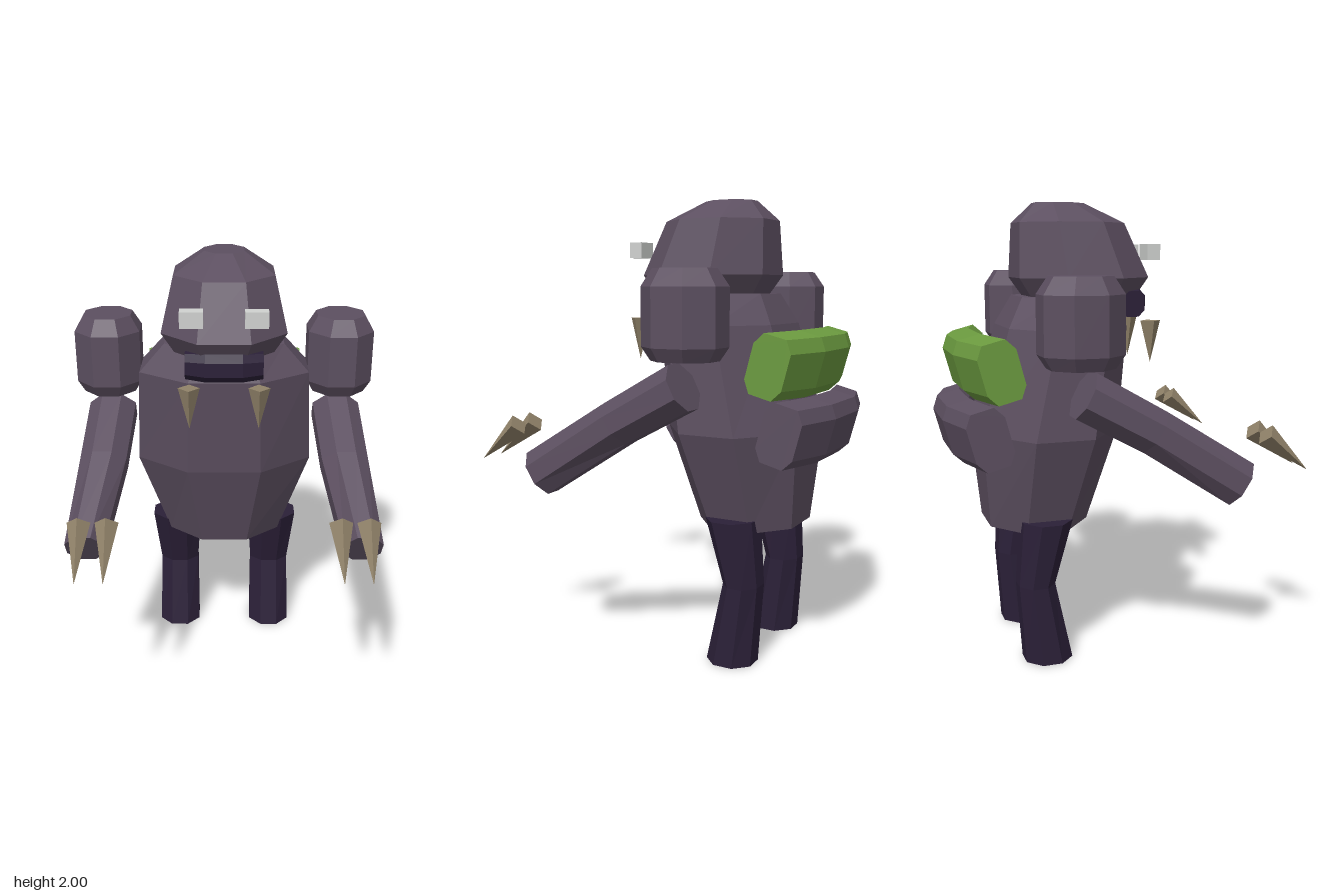
import * as THREE from 'three';

const V = (x, y, z) => new THREE.Vector3(x, y, z);

function paint(name, color) {
  const m = new THREE.MeshStandardMaterial({ color, flatShading: true });
  m.name = name;
  return m;
}

// Eight-sided ring around c; u and v are the two half-axes, k the flat part of each side.
function ring(c, u, v, k = 0.414) {
  const corners = [[1, -k], [1, k], [k, 1], [-k, 1], [-1, k], [-1, -k], [-k, -1], [k, -1]];
  return corners.map(([a, b]) => c.clone().addScaledVector(u, a).addScaledVector(v, b));
}

// Closed skin through successive rings.
function loft(rings) {
  const pos = [];
  const tri = (...pts) => pts.forEach((p) => pos.push(p.x, p.y, p.z));
  const n = rings[0].length;
  for (let r = 0; r < rings.length - 1; r++) {
    const a = rings[r], b = rings[r + 1];
    for (let i = 0; i < n; i++) {
      const j = (i + 1) % n;
      tri(a[i], a[j], b[j]);
      tri(a[i], b[j], b[i]);
    }
  }
  const first = rings[0], last = rings[rings.length - 1];
  for (let i = 1; i < n - 1; i++) {
    tri(first[0], first[i + 1], first[i]);
    tri(last[0], last[i], last[i + 1]);
  }
  const g = new THREE.BufferGeometry();
  g.setAttribute('position', new THREE.Float32BufferAttribute(pos, 3));
  g.computeVertexNormals();
  return g;
}

// Upright form: rows of [y, halfWidth, zBack, zFront, x], bottom to top.
const upright = (rows) => loft(rows.map(([y, w, back, front, x = 0]) =>
  ring(V(x, y, (back + front) / 2), V(0, 0, (front - back) / 2), V(w, 0, 0))));

// Crosswise bar: rows of [x, y, z, halfHeight, halfDepth], tilted about x.
const crossbar = (rows, tilt, k) => loft(rows.map(([x, y, z, h, d]) => {
  const c = Math.cos(tilt), s = Math.sin(tilt);
  return ring(V(x, y, z), V(0, c * h, -s * h), V(0, s * d, c * d), k);
}));

// Limb: rows of [x, y, z, halfWidth, halfThickness, dirY, dirZ].
const limb = (rows) => loft(rows.map(([x, y, z, w, t, dy, dz]) => {
  const l = Math.hypot(dy, dz);
  return ring(V(x, y, z), V(0, -dz / l * t, dy / l * t), V(w, 0, 0));
}));

// Four-sided spike from the middle of its base to its tip.
function spike(base, tip, radius) {
  const d = tip.clone().sub(base);
  const g = new THREE.ConeGeometry(radius, d.length(), 4);
  g.applyQuaternion(new THREE.Quaternion().setFromUnitVectors(V(0, 1, 0), d.clone().normalize()));
  const mid = base.clone().add(tip).multiplyScalar(0.5);
  return g.translate(mid.x, mid.y, mid.z);
}

export function createModel() {
  const model = new THREE.Group();
  const hide = paint('hide', 0x5c4f60);
  const dark = paint('dark hide', 0x2b2038);
  const moss = paint('green', 0x6b9a3f);
  const bone = paint('bone', 0x908269);
  const pale = paint('eye grey', 0xd0d2d0);
  const add = (name, geometry, material) => {
    const mesh = new THREE.Mesh(geometry, material);
    mesh.name = name;
    model.add(mesh);
  };

  // Body and head
  add('torso', upright([
    [0.59, 0.27, -0.55, -0.106],
    [1.02, 0.41, -0.587, 0.025],
    [1.47, 0.385, -0.46, 0.07],
    [1.6, 0.27, -0.39, 0.02],
  ]), hide);
  add('head', upright([
    [1.59, 0.22, -0.34, 0.13],
    [1.68, 0.275, -0.4, 0.187],
    [1.915, 0.22, -0.39, 0.08],
    [2, 0.088, -0.307, -0.09],
  ]), hide);
  add('mouth', crossbar([
    [-0.168, 1.565, 0.095, 0.056, 0.055],
    [-0.08, 1.567, 0.125, 0.062, 0.06],
    [0.08, 1.567, 0.125, 0.062, 0.06],
    [0.168, 1.565, 0.095, 0.056, 0.055],
  ], 0, 0.5), dark);

  // Curved bulges across the back
  const bulge = (y, z) => crossbar([
    [-0.375, y, z + 0.06, 0.127, 0.083],
    [-0.15, y, z, 0.13, 0.085],
    [0.15, y, z, 0.13, 0.085],
    [0.375, y, z + 0.06, 0.127, 0.083],
  ], 0.26, 0.6);
  add('upperBackBulge', bulge(1.313, -0.598), moss);
  add('lowerBackBulge', bulge(1.038, -0.65), hide);

  for (const [side, s] of [['left', 1], ['right', -1]]) {
    // Face
    add(side + 'Eye', new THREE.BoxGeometry(0.098, 0.068, 0.06).translate(s * 0.135, 1.79, 0.185), pale);
    add(side + 'Fang', spike(V(s * 0.15, 1.49, 0.185), V(s * 0.15, 1.305, 0.185), 0.047), bone);

    // Arm
    add(side + 'Shoulder', upright([
      [1.34, 0.118, -0.385, -0.125, s * 0.535],
      [1.395, 0.148, -0.42, -0.09, s * 0.535],
      [1.63, 0.148, -0.42, -0.09, s * 0.535],
      [1.7, 0.108, -0.375, -0.133, s * 0.535],
    ]), hide);
    add(side + 'Arm', limb([
      [s * 0.53, 1.235, -0.245, 0.108, 0.1, -0.45, 0.9],
      [s * 0.55, 1.075, 0.042, 0.105, 0.096, -0.54, 0.84],
      [s * 0.6, 0.838, 0.413, 0.084, 0.1, -0.54, 0.84],
    ]), hide);
    for (const x of [0.48, 0.595]) {
      add(side + 'Claw', spike(V(s * x, 1.035, 0.54), V(s * x, 0.867, 0.745), 0.049), bone);
    }

    // Leg
    add(side + 'Leg', upright([
      [0, 0.102, -0.435, -0.225, s * 0.238],
      [0.355, 0.096, -0.46, -0.3, s * 0.235],
      [0.645, 0.12, -0.44, -0.222, s * 0.24],
    ]), dark);
  }
  return model;
}
